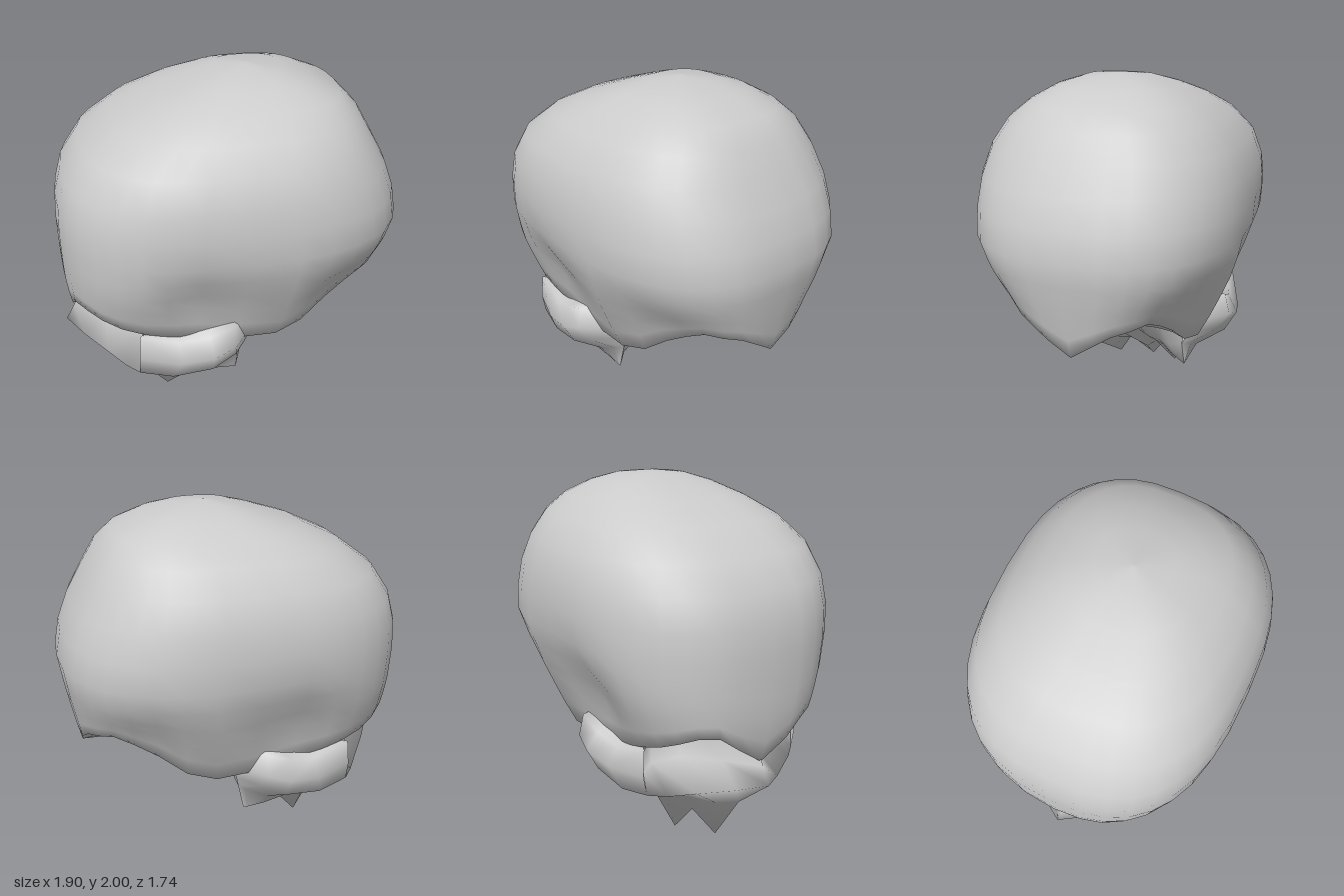
import * as THREE from 'three';

const material = new THREE.MeshStandardMaterial({ color: 0xcccccc, side: THREE.DoubleSide });
const { smoothstep, clamp } = THREE.MathUtils;

// Piecewise linear lookup: keys are [position, value, value, ...]
function sample(keys, t) {
  let i = 0;
  while (i < keys.length - 2 && t > keys[i + 1][0]) i++;
  const a = keys[i], b = keys[i + 1];
  const k = clamp((t - a[0]) / (b[0] - a[0]), 0, 1);
  return a.slice(1).map((v, n) => v + (b[n + 1] - v) * k);
}

// Skin over rows of [x, y, z] points, rows from top to bottom
function skin(name, rows, closed = false) {
  const n = rows[0].length, index = [];
  for (let i = 0; i < rows.length - 1; i++) {
    for (let j = 0; j < (closed ? n : n - 1); j++) {
      const k = (j + 1) % n;
      const a = i * n + j, b = (i + 1) * n + j, c = (i + 1) * n + k, d = i * n + k;
      index.push(a, b, c, a, c, d);
    }
  }
  const geometry = new THREE.BufferGeometry();
  geometry.setAttribute('position', new THREE.Float32BufferAttribute(rows.flat(2), 3));
  geometry.setIndex(index);
  geometry.computeVertexNormals();
  const mesh = new THREE.Mesh(geometry, material);
  mesh.name = name;
  return mesh;
}

// Height -> front reach, back reach, half width of the braincase
const girth = [
  [0.55, 0.88, 0.8, 0.49], [0.7, 0.93, 0.85, 0.57], [0.85, 0.955, 0.88, 0.64],
  [1.0, 0.96, 0.91, 0.7], [1.2, 0.96, 0.94, 0.735], [1.35, 0.95, 0.91, 0.735],
  [1.5, 0.905, 0.85, 0.72], [1.65, 0.8, 0.765, 0.67], [1.78, 0.62, 0.69, 0.57],
  [1.87, 0.42, 0.6, 0.45], [1.94, 0.2, 0.44, 0.32], [1.98, 0.06, 0.3, 0.19], [2.0, -0.1, 0.1, 0],
];

// Angle from the face -> height of the lower edge: brow, sockets, temple, ear, nape
const rim = [
  [0, 0.61], [0.12, 0.66], [0.25, 0.79], [0.45, 0.82], [0.62, 0.79], [0.8, 0.74], [1.0, 0.7],
  [1.35, 0.62], [1.6, 0.57], [1.85, 0.56], [2.1, 0.73], [2.4, 0.86], [2.8, 0.81], [3.0, 0.74], [3.15, 0.66],
];

function braincasePoint(a, y) {
  const [front, back, width] = sample(girth, y);
  const c = Math.cos(a), s = Math.sin(a), e = 2 / 2.6;
  const z = (front - back) / 2 + ((front + back) / 2) * Math.sign(c) * Math.abs(c) ** e;
  // hollow of the temple, and narrowing towards the nape
  const hollow = 0.15 * Math.exp(-(((z - 0.22) / 0.24) ** 2)) * Math.exp(-(((y - 0.87) / 0.24) ** 2));
  const nape = 0.22 * smoothstep(-z, 0.15, 0.6) * (1 - smoothstep(y, 0.75, 1.2));
  const x = Math.sign(s) * width * Math.abs(s) ** e * (1 - hollow - nape);
  return [x, y, z];
}

function braincase() {
  const columns = 36, rows = [];
  const angles = Array.from({ length: columns }, (_, j) => (j / columns) * Math.PI * 2);
  const edge = (a) => sample(rim, a > Math.PI ? 2 * Math.PI - a : a)[0];
  for (const y of [2, 1.98, 1.94, 1.87, 1.78, 1.65, 1.5, 1.35, 1.2, 1.08]) {
    rows.push(angles.map((a) => braincasePoint(a, y)));
  }
  for (const k of [0.25, 0.5, 0.75, 1]) {
    rows.push(angles.map((a) => braincasePoint(a, 1.08 + (edge(a) - 1.08) * k)));
  }
  // underside drawn in to the lower middle of the base
  for (const [scale, k] of [[0.8, 0.04], [0.55, 0.35], [0.2, 0.95], [0, 1]]) {
    rows.push(angles.map((a) => {
      const [x, y, z] = braincasePoint(a, edge(a));
      return [x * scale, y + (0.5 - y) * k, z * scale];
    }));
  }
  return skin('braincase', rows, true);
}

// Face: each row runs from the middle line out to the left, then is mirrored
function face() {
  const half = [
    // roof and back of the eye sockets
    [[0, 0.68, 0.88], [0.12, 0.76, 0.74], [0.28, 0.82, 0.6], [0.43, 0.78, 0.54], [0.5, 0.72, 0.57]],
    [[0, 0.59, 0.92], [0.12, 0.58, 0.74], [0.28, 0.58, 0.58], [0.43, 0.57, 0.53], [0.51, 0.55, 0.58]],
    // lower rim from nose to cheek
    [[0, 0.5, 0.97], [0.14, 0.475, 0.88], [0.3, 0.45, 0.76], [0.42, 0.43, 0.67], [0.5, 0.43, 0.6]],
    // upper jaw
    [[0, 0.3, 0.74], [0.1, 0.29, 0.67], [0.21, 0.31, 0.54], [0.31, 0.36, 0.46], [0.44, 0.38, 0.4]],
    // tooth line, ending in the wings behind it
    [[0, 0, 0.54], [0.12, 0.17, 0.48], [0.19, 0.05, 0.41], [0.25, 0.23, 0.3], [0.35, 0.25, 0.15]],
    [[0, 0.12, 0.4], [0.08, 0.2, 0.34], [0.16, 0.23, 0.25], [0.25, 0.25, 0.12], [0.36, 0.25, 0.02]],
    // back wall up to the base
    [[0, 0.34, 0.2], [0.09, 0.32, 0.16], [0.18, 0.34, 0.1], [0.26, 0.36, 0.03], [0.35, 0.4, -0.01]],
    [[0, 0.52, 0.0], [0.1, 0.52, 0], [0.2, 0.53, -0.02], [0.29, 0.54, -0.05], [0.4, 0.57, -0.08]],
  ];
  const rows = half.map((r) => [...r.slice(1).reverse().map(([x, y, z]) => [-x, y, z]), ...r]);
  return skin('face', rows);
}

// Cheekbone running back to the temple and in to the base, folding under to the upper jaw
function cheekbone(side) {
  const rows = [
    [[0.43, 0.7, 0.52], [0.44, 0.66, 0.34], [0.46, 0.7, 0.18], [0.47, 0.73, 0.06], [0.38, 0.68, -0.03]],
    [[0.51, 0.68, 0.59], [0.54, 0.63, 0.38], [0.57, 0.66, 0.22], [0.58, 0.72, 0.08], [0.41, 0.65, -0.04]],
    [[0.52, 0.54, 0.6], [0.6, 0.53, 0.38], [0.63, 0.56, 0.2], [0.61, 0.6, 0.08], [0.42, 0.57, -0.05]],
    [[0.5, 0.43, 0.6], [0.54, 0.4, 0.42], [0.56, 0.43, 0.2], [0.54, 0.5, 0.06], [0.4, 0.5, -0.04]],
    [[0.44, 0.38, 0.4], [0.41, 0.33, 0.3], [0.4, 0.33, 0.15], [0.4, 0.4, 0.02], [0.35, 0.4, -0.01]],
    [[0.38, 0.33, 0.35], [0.36, 0.28, 0.25], [0.35, 0.25, 0.15], [0.36, 0.25, 0.04], [0.36, 0.25, 0.02]],
  ];
  const mesh = skin(side > 0 ? 'leftCheekbone' : 'rightCheekbone', rows);
  mesh.scale.x = side;
  return mesh;
}

export function createModel() {
  const group = new THREE.Group();
  group.name = 'skull';
  const head = new THREE.Group();
  head.name = 'turnedHead';
  head.add(braincase(), face(), cheekbone(1), cheekbone(-1));
  head.rotation.y = -1.0; // the head looks off to its right
  group.add(head);
  return group;
}
